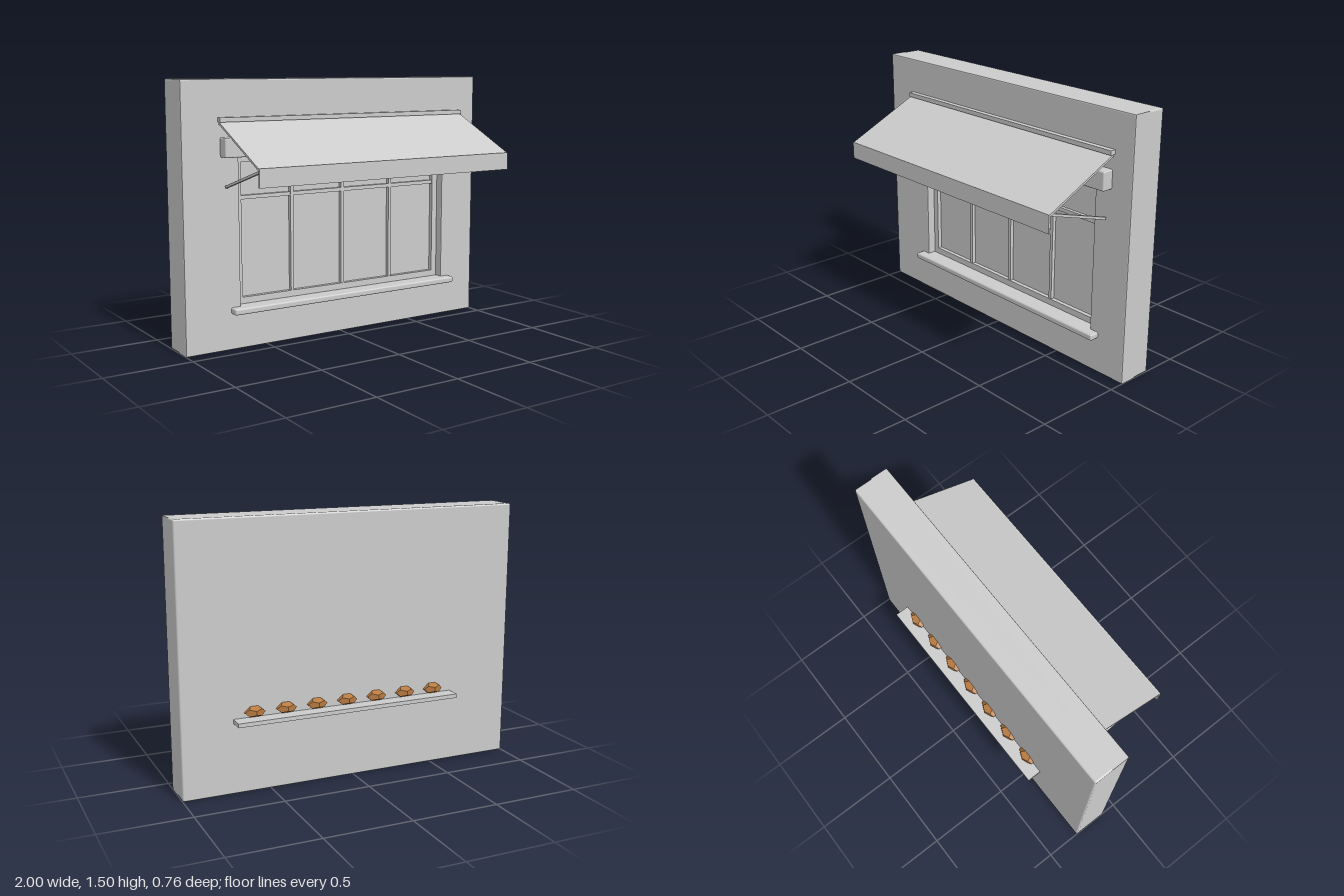
import * as THREE from 'three';
import { RoundedBoxGeometry } from 'three/addons/geometries/RoundedBoxGeometry.js';

const grey = new THREE.MeshStandardMaterial({ color: 0xcccccc });
const crust = new THREE.MeshStandardMaterial({ color: 0xb87a40, flatShading: true });

// Box given by its minimum and maximum corners; r rounds the edges.
function block(parent, name, [x0, y0, z0], [x1, y1, z1], r = 0) {
  const size = [x1 - x0, y1 - y0, z1 - z0];
  const geo = r ? new RoundedBoxGeometry(...size, 2, r) : new THREE.BoxGeometry(...size);
  const mesh = new THREE.Mesh(geo, grey);
  mesh.name = name;
  mesh.position.set((x0 + x1) / 2, (y0 + y1) / 2, (z0 + z1) / 2);
  parent.add(mesh);
  return mesh;
}

// Flat bar running between two points (z, y) in the side plane.
function slope(parent, name, x, width, thick, [z0, y0], [z1, y1]) {
  const geo = new THREE.BoxGeometry(width, thick, Math.hypot(z1 - z0, y1 - y0));
  const mesh = new THREE.Mesh(geo, grey);
  mesh.name = name;
  mesh.position.set(x, (y0 + y1) / 2, (z0 + z1) / 2);
  mesh.rotation.x = -Math.atan2(y1 - y0, z1 - z0);
  parent.add(mesh);
}

function rectangle(Type, x0, y0, x1, y1) {
  return new Type([[x0, y0], [x1, y0], [x1, y1], [x0, y1]].map(p => new THREE.Vector2(...p)));
}

export function createModel() {
  const model = new THREE.Group();
  const cx = 0.045; // centre line of window, awning and shelf
  const left = -0.665, right = 0.755, bottom = 0.24, top = 1.08;

  // Wall: solid back with a front layer cut out for the window
  const wall = new THREE.Group();
  wall.name = 'wall';
  model.add(wall);
  block(wall, 'wallBack', [-1, 0, -0.295], [1, 1.5, -0.16], 0.01);
  const face = rectangle(THREE.Shape, -1, 0, 1, 1.5);
  face.holes.push(rectangle(THREE.Path, left, bottom, right, top));
  const b = 0.006;
  const front = new THREE.Mesh(new THREE.ExtrudeGeometry(face, {
    depth: 0.105 - 2 * b, bevelThickness: b, bevelSize: b, bevelOffset: -b, bevelSegments: 2,
  }), grey);
  front.name = 'wallFront';
  front.position.z = -0.19 + b;
  wall.add(front);

  // Window frame, mullions and transom
  const frame = new THREE.Group();
  frame.name = 'windowFrame';
  model.add(frame);
  const zb = -0.17, zf = -0.135, w = 0.037;
  block(frame, 'frameSide', [left, bottom, zb], [left + w, top, zf]);
  block(frame, 'frameSide', [right - w, bottom, zb], [right, top, zf]);
  block(frame, 'frameBottom', [left, bottom, zb], [right, bottom + w, zf]);
  block(frame, 'frameTop', [left, top - w, zb], [right, top, zf]);
  for (let i = -1; i <= 1; i++) {
    const x = cx + i * 0.346;
    block(frame, 'mullion', [x - 0.01, bottom + w, zb], [x + 0.01, top - w, zf - 0.003]);
  }
  block(frame, 'transom', [left + w, 0.833, zb], [right - w, 0.855, zf - 0.005]);

  // Sill and lintel
  block(model, 'sill', [-0.725, 0.205, -0.14], [0.815, 0.241, -0.03], 0.01);
  block(model, 'lintel', [-0.775, 1.08, -0.12], [0.865, 1.187, -0.02], 0.008);

  // Awning: wall rail, sloped sheet, hanging valance and two arms
  const awning = new THREE.Group();
  awning.name = 'awning';
  model.add(awning);
  const half = 0.832;
  block(awning, 'rail', [cx - half, 1.27, -0.09], [cx + half, 1.295, -0.053]);
  slope(awning, 'canopy', cx, half * 2, 0.012, [-0.07, 1.265], [0.372, 1.053]);
  block(awning, 'valance', [cx - half, 0.96, 0.369], [cx + half, 1.06, 0.38]);
  for (const side of [-1, 1]) {
    slope(awning, 'arm', cx + side * 0.793, 0.014, 0.014, [-0.072, 0.918], [0.362, 1.048]);
  }

  // Back shelf with a row of buns
  block(model, 'shelf', [-0.62, 0.4, -0.38], [0.71, 0.423, -0.28]);
  const bunShape = new THREE.DodecahedronGeometry(1, 0);
  for (let i = -3; i <= 3; i++) {
    const bun = new THREE.Mesh(bunShape, crust);
    bun.name = 'bun';
    bun.position.set(cx + i * 0.182, 0.452, -0.295);
    bun.scale.set(0.062, 0.033, 0.044);
    model.add(bun);
  }
  return model;
}
